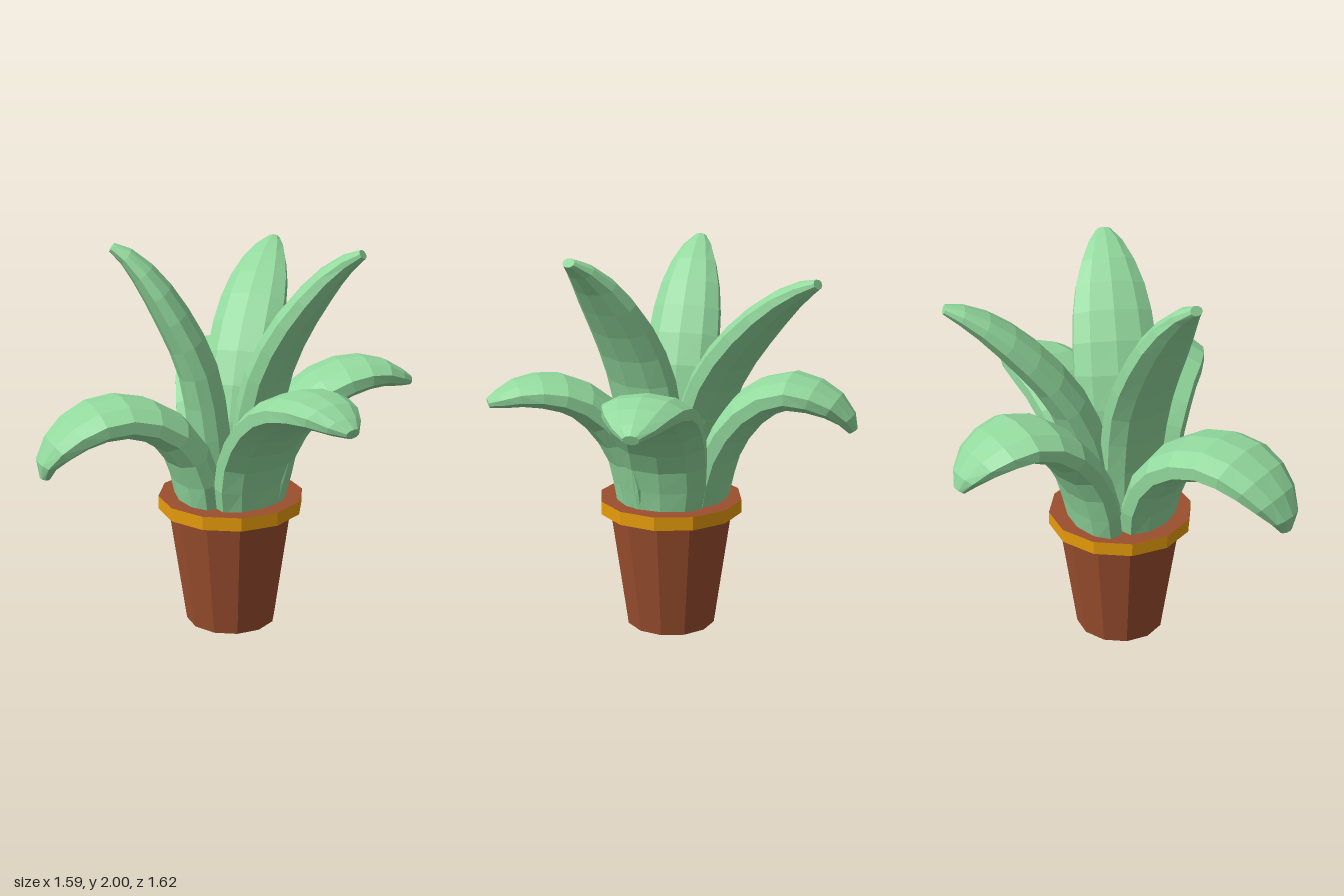
import * as THREE from 'three';

const AXIS = { x: -0.025, z: 0.055 }; // pot centre
const SIDES = 10;
const RINGS = 10;

const material = (name, color) => {
  const m = new THREE.MeshStandardMaterial({ color, flatShading: true });
  m.name = name;
  return m;
};

// Interpolate a small list of [position, value] pairs
function sample(stops, u) {
  for (let i = 1; i < stops.length; i++) {
    const [a, va] = stops[i - 1], [b, vb] = stops[i];
    if (u <= b) return va + ((vb - va) * (u - a)) / (b - a);
  }
  return stops[stops.length - 1][1];
}

// Half width and half thickness along a leaf
const LOWER_WIDTH = [[0, 0.2], [0.12, 0.23], [0.3, 0.24], [0.5, 0.24], [0.7, 0.228], [0.82, 0.19], [0.92, 0.13], [1, 0.04]];
const UPPER_WIDTH = [[0, 0.18], [0.25, 0.21], [0.5, 0.228], [0.65, 0.22], [0.8, 0.18], [0.92, 0.115], [1, 0.04]];
const NARROW_WIDTH = UPPER_WIDTH.map(([u, w]) => [u, w * 0.87]);
const THICKNESS = [[0, 0.11], [0.4, 0.105], [0.65, 0.094], [0.82, 0.075], [0.93, 0.05], [1, 0.024]];

// Fleshy leaf: a ten-sided oval swept along an arc given as [radius, height]
function leafGeometry(x, z, dx, dz, width, profile) {
  const dir = new THREE.Vector3(dx, 0, dz).normalize();
  const side = new THREE.Vector3().crossVectors(dir, new THREE.Vector3(0, 1, 0));
  const curve = new THREE.CatmullRomCurve3(profile.map(([r, y]) =>
    new THREE.Vector3(x + dir.x * r, y, z + dir.z * r)));
  const pos = [], index = [];
  for (let i = 0; i <= RINGS; i++) {
    const u = 1 - Math.pow(1 - i / RINGS, 1.25); // closer rings near the tip
    const p = curve.getPointAt(u);
    const normal = new THREE.Vector3().crossVectors(side, curve.getTangentAt(u)).normalize();
    const w = sample(width, u), t = sample(THICKNESS, u);
    for (let j = 0; j < SIDES; j++) {
      const a = (j / SIDES) * Math.PI * 2;
      const v = p.clone()
        .addScaledVector(normal, Math.cos(a) * t)
        .addScaledVector(side, Math.sin(a) * w);
      pos.push(v.x, v.y, v.z);
    }
  }
  for (let i = 0; i < RINGS; i++) {
    for (let j = 0; j < SIDES; j++) {
      const k = (j + 1) % SIDES;
      const a = i * SIDES + j, b = i * SIDES + k;
      index.push(a, b, b + SIDES, a, b + SIDES, a + SIDES);
    }
  }
  // Blunt tip
  const last = RINGS * SIDES;
  for (let j = 1; j < SIDES - 1; j++) index.push(last, last + j, last + j + 1);
  const g = new THREE.BufferGeometry();
  g.setAttribute('position', new THREE.Float32BufferAttribute(pos, 3));
  g.setIndex(index);
  g.computeVertexNormals();
  return g;
}

// Root (x, z), heading (x, z), width and arc of each leaf
const LEAVES = [
  ['lowerLeafFrontRight', -0.025, 0.055, -0.69, 0.68, LOWER_WIDTH, [[0.17, 0.67], [0.23, 0.92], [0.36, 1.09], [0.55, 1.175], [0.74, 1.16], [0.89, 1.07], [0.965, 0.98], [0.975, 0.91]]],
  ['lowerLeafBackRight', -0.07, 0.065, -0.415, -0.91, LOWER_WIDTH, [[0.17, 0.67], [0.24, 0.95], [0.38, 1.17], [0.58, 1.29], [0.77, 1.26], [0.88, 1.19], [0.93, 1.11]]],
  ['lowerLeafBackLeft', -0.025, 0.055, 0.77, -0.48, LOWER_WIDTH, [[0.17, 0.67], [0.23, 0.95], [0.36, 1.15], [0.53, 1.27], [0.74, 1.31], [0.94, 1.25]]],
  ['lowerLeafFrontLeft', -0.025, 0.06, 0.77, 0.48, LOWER_WIDTH, [[0.17, 0.67], [0.23, 0.95], [0.36, 1.15], [0.53, 1.27], [0.74, 1.3], [0.93, 1.25]]],
  ['upperLeafRight', -0.025, 0.04, -0.505, 0.265, NARROW_WIDTH, [[0.09, 0.67], [0.13, 1.15], [0.18, 1.38], [0.27, 1.58], [0.38, 1.77], [0.49, 1.91], [0.58, 1.975]]],
  ['upperLeafLeft', -0.025, 0.06, 0.66, 0.01, UPPER_WIDTH, [[0.11, 0.67], [0.16, 1.15], [0.215, 1.37], [0.315, 1.58], [0.455, 1.78], [0.575, 1.91], [0.675, 1.975]]],
  ['upperLeafBack', -0.05, 0.055, -0.055, -0.845, NARROW_WIDTH, [[0.11, 0.67], [0.18, 1.1], [0.29, 1.37], [0.46, 1.59], [0.64, 1.76], [0.76, 1.84], [0.85, 1.88]]],
];

export function createModel() {
  const model = new THREE.Group();
  model.name = 'pottedPlant';
  const clay = material('clay', 0x9c4f2f);
  const gold = material('gold', 0xec9f0c);
  const green = material('leafGreen', 0x92d99d);

  // Tapered twelve-sided pot
  const pot = new THREE.Mesh(new THREE.CylinderGeometry(0.325, 0.235, 0.64, 12), clay);
  pot.name = 'pot';
  pot.position.set(AXIS.x, 0.32, AXIS.z);
  model.add(pot);

  // Rim: gold band with clay top and underside
  const rim = new THREE.Mesh(new THREE.CylinderGeometry(0.375, 0.375, 0.07, 12), [gold, clay, clay]);
  rim.name = 'rim';
  rim.position.set(AXIS.x, 0.66, AXIS.z);
  model.add(rim);

  // Leaves
  for (const [name, ...shape] of LEAVES) {
    const leaf = new THREE.Mesh(leafGeometry(...shape), green);
    leaf.name = name;
    model.add(leaf);
  }
  return model;
}
